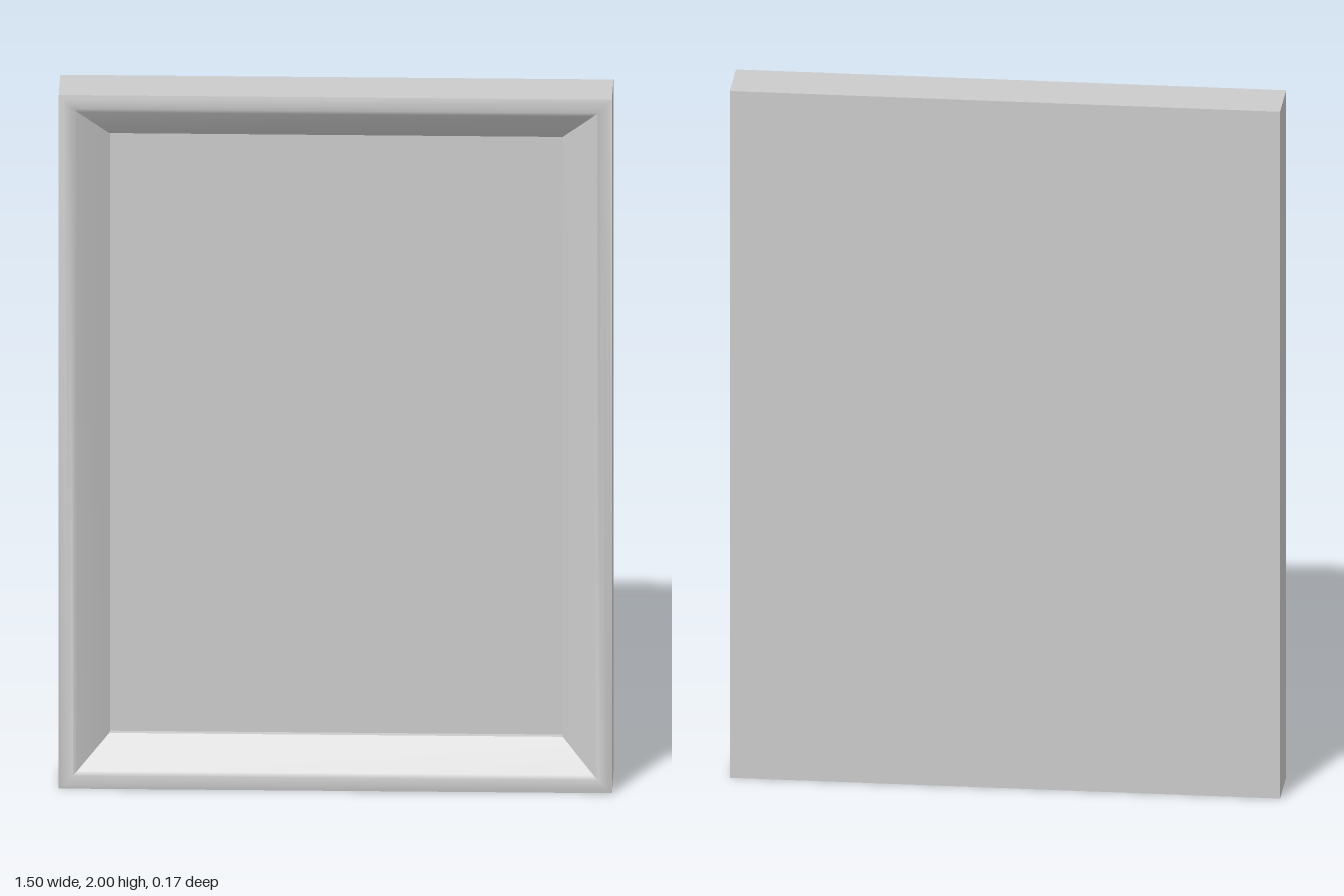
import * as THREE from 'three';
import { toCreasedNormals } from 'three/addons/utils/BufferGeometryUtils.js';

const W = 0.75, H = 1, D = 0.083; // half width, half height, half depth
const INSET = 0.135;              // width of the moulding
const PANEL_Z = -0.013;           // front of the recessed panel

// Moulding cross-section as [inset from outer edge, z]
const profile = [
  [0, -D], [0, 0.078],                                            // outer side
  [0.012, 0.082], [0.025, D], [0.039, 0.081], [0.05, 0.075],      // shallow bead
  [INSET, 0.005], [INSET, -D],                                    // slope and inner lip
  [0, -D],                                                        // back
];

// Sweeps the cross-section around a rectangle with mitred corners
function mitredFrame(points) {
  const corners = [[-1, -1], [1, -1], [1, 1], [-1, 1]];
  const at = ([sx, sy], [inset, z]) => [sx * (W - inset), sy * (H - inset), z];
  const positions = [];
  for (let i = 0; i < points.length - 1; i++) {
    for (let c = 0; c < 4; c++) {
      const next = corners[(c + 1) % 4];
      const a = at(corners[c], points[i]), b = at(next, points[i]);
      const d = at(corners[c], points[i + 1]), e = at(next, points[i + 1]);
      positions.push(...a, ...b, ...e, ...a, ...e, ...d);
    }
  }
  const geometry = new THREE.BufferGeometry();
  geometry.setAttribute('position', new THREE.Float32BufferAttribute(positions, 3));
  return toCreasedNormals(geometry, Math.PI / 6);
}

export function createModel() {
  const group = new THREE.Group();
  group.name = 'pictureFrame';
  const material = new THREE.MeshStandardMaterial({ color: 0xcccccc });

  const frame = new THREE.Mesh(mitredFrame(profile), material);
  frame.name = 'frameMoulding';
  frame.position.y = H;

  // Recessed panel, flush with the back of the moulding
  const depth = PANEL_Z + D;
  const panel = new THREE.Mesh(
    new THREE.BoxGeometry(2 * (W - INSET), 2 * (H - INSET), depth), material);
  panel.name = 'backPanel';
  panel.position.set(0, H, -D + depth / 2);

  group.add(frame, panel);
  return group;
}
